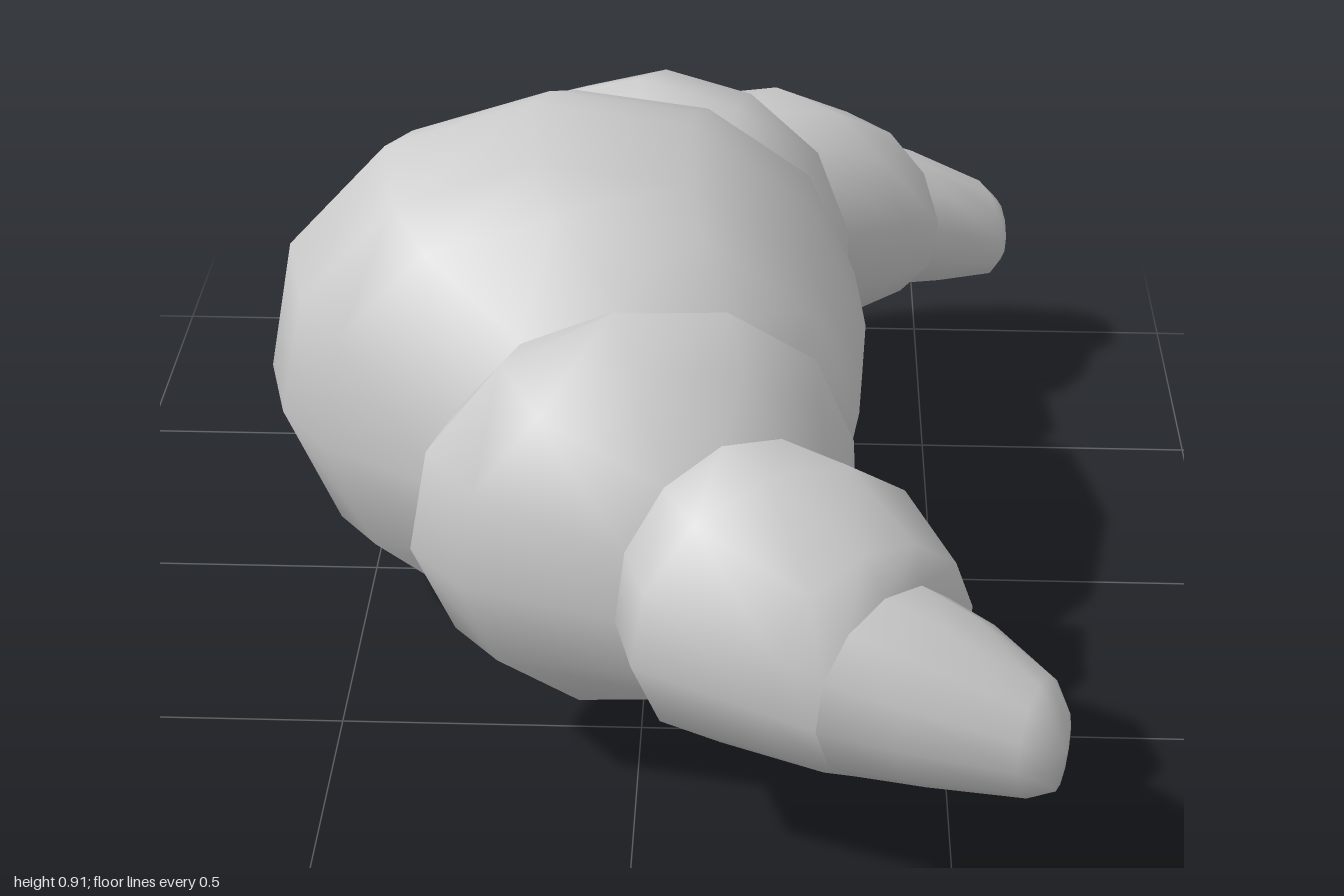
import * as THREE from 'three';

const SIDES = 12;
const TILT = THREE.MathUtils.degToRad(6);

// Each ring: outer x, outer z, inner x, inner z, bottom y, top y
const BELLY = [
  [-0.67, 0, 0.37, 0, 0.0, 0.92],
  [-0.63, 0.16, 0.362, 0.15, 0.025, 0.875],
  [-0.55, 0.27, 0.355, 0.27, 0.05, 0.83],
  [-0.33, 0.42, 0.31, 0.33, 0.15, 0.72],
];
const SHOULDER = [
  [-0.33, 0.42, 0.31, 0.33, 0.15, 0.72],
  [-0.365, 0.6, 0.345, 0.34, 0.1, 0.765],
  [-0.28, 0.71, 0.345, 0.5, 0.125, 0.73],
  [-0.03, 0.77, 0.33, 0.53, 0.17, 0.63],
];
const ARM = [
  [-0.03, 0.77, 0.33, 0.53, 0.17, 0.63],
  [0.0, 0.9, 0.46, 0.6, 0.165, 0.635],
  [0.2, 0.965, 0.525, 0.71, 0.17, 0.55],
  [0.28, 0.98, 0.505, 0.74, 0.18, 0.49],
];
const TIP = [
  [0.28, 0.98, 0.505, 0.74, 0.18, 0.49],
  [0.4, 1.0, 0.57, 0.765, 0.18, 0.45],
  [0.58, 1.0, 0.655, 0.83, 0.18, 0.375],
  [0.635, 0.985, 0.67, 0.88, 0.2, 0.33],
  [0.66, 0.94, 0.66, 0.94, 0.265, 0.265],
];

// The same rings on the -z side, reversed so they still run towards +z
const mirror = (rings) =>
  rings.map(([ox, oz, ix, iz, lo, hi]) => [ox, -oz, ix, -iz, lo, hi]).reverse();

// Skin a row of upright elliptical rings
function loft(rings) {
  const pos = [];
  const index = [];
  rings.forEach(([ox, oz, ix, iz, lo, hi], r) => {
    for (let j = 0; j < SIDES; j++) {
      const a = (j / SIDES) * Math.PI * 2 + TILT;
      const c = Math.cos(a) / 2;
      pos.push(
        (ox + ix) / 2 + (ix - ox) * c,
        (lo + hi) / 2 + ((hi - lo) * Math.sin(a)) / 2,
        (oz + iz) / 2 + (iz - oz) * c
      );
      if (r === rings.length - 1) continue;
      const k = (j + 1) % SIDES;
      const p = r * SIDES;
      const q = p + SIDES;
      index.push(p + j, p + k, q + k, p + j, q + k, q + j);
    }
  });
  const geo = new THREE.BufferGeometry();
  geo.setAttribute('position', new THREE.Float32BufferAttribute(pos, 3));
  geo.setIndex(index);
  geo.computeVertexNormals();
  return geo;
}

export function createModel() {
  const group = new THREE.Group();
  group.name = 'croissant';
  const dough = new THREE.MeshStandardMaterial({ color: 0xcccccc });
  const add = (name, rings) => {
    const mesh = new THREE.Mesh(loft(rings), dough);
    mesh.name = name;
    group.add(mesh);
  };

  // Thick middle roll
  add('middleRoll', [...mirror(BELLY), ...BELLY.slice(1)]);

  // Shrinking rolls towards each horn
  const rolls = { shoulderRoll: SHOULDER, armRoll: ARM, hornTip: TIP };
  for (const [name, rings] of Object.entries(rolls)) {
    add(name + 'Front', rings);
    add(name + 'Back', mirror(rings));
  }
  return group;
}
